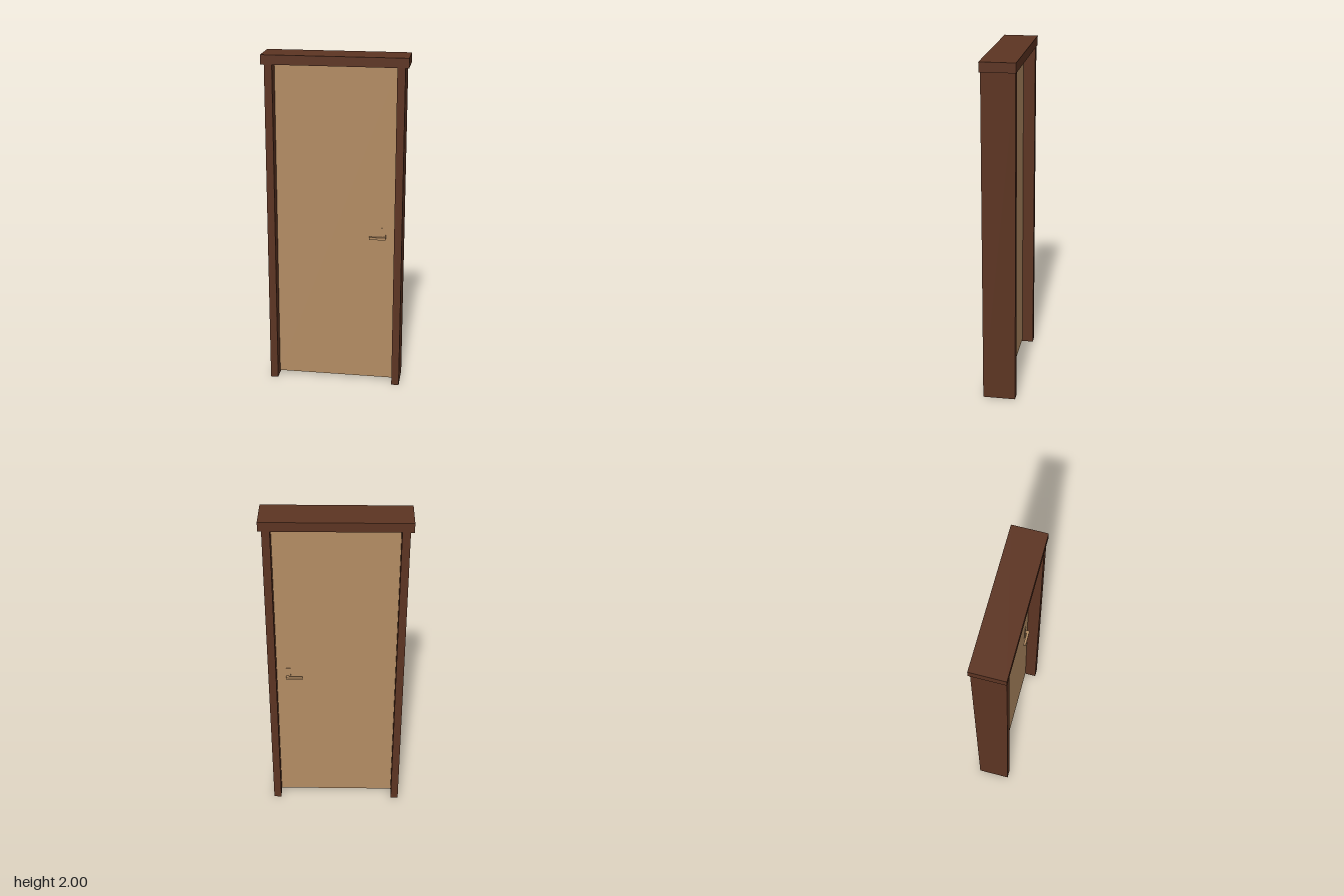
import * as THREE from 'three';

export function createModel() {
  const model = new THREE.Group();
  model.name = 'door';

  const darkWood = new THREE.MeshStandardMaterial({ color: 0x5c3422 });
  darkWood.name = 'dark wood';
  const lightWood = new THREE.MeshStandardMaterial({ color: 0xb38c63 });
  lightWood.name = 'light wood';

  // Box given by its lower and upper limits on each axis
  const box = (name, material, [x0, x1], [y0, y1], [z0, z1], parent = model) => {
    const mesh = new THREE.Mesh(new THREE.BoxGeometry(x1 - x0, y1 - y0, z1 - z0), material);
    mesh.position.set((x0 + x1) / 2, (y0 + y1) / 2, (z0 + z1) / 2);
    mesh.name = name;
    parent.add(mesh);
    return mesh;
  };

  // Frame: overhanging lintel on two posts
  box('lintel', darkWood, [-0.417, 0.417], [1.945, 2], [-0.1, 0.1]);
  box('rightPost', darkWood, [-0.397, -0.352], [0, 1.945], [-0.095, 0.095]);
  box('leftPost', darkWood, [0.352, 0.397], [0, 1.945], [-0.095, 0.095]);

  // Door leaf, with a small gap above and below
  box('doorLeaf', lightWood, [-0.352, 0.352], [0.012, 1.936], [-0.025, 0.025]);

  // Handle on each face: thin back plate, neck and lever
  for (const side of [1, -1]) {
    const handle = new THREE.Group();
    handle.name = side > 0 ? 'frontHandle' : 'backHandle';
    const depth = (a, b) => (side > 0 ? [a, b] : [-b, -a]);
    box('backPlate', lightWood, [0.27, 0.297], [0.855, 0.985], depth(0.025, 0.029), handle);
    box('neck', lightWood, [0.28, 0.295], [0.918, 0.933], depth(0.029, 0.037), handle);
    box('lever', lightWood, [0.2, 0.297], [0.918, 0.933], depth(0.037, 0.051), handle);
    model.add(handle);
  }

  return model;
}
